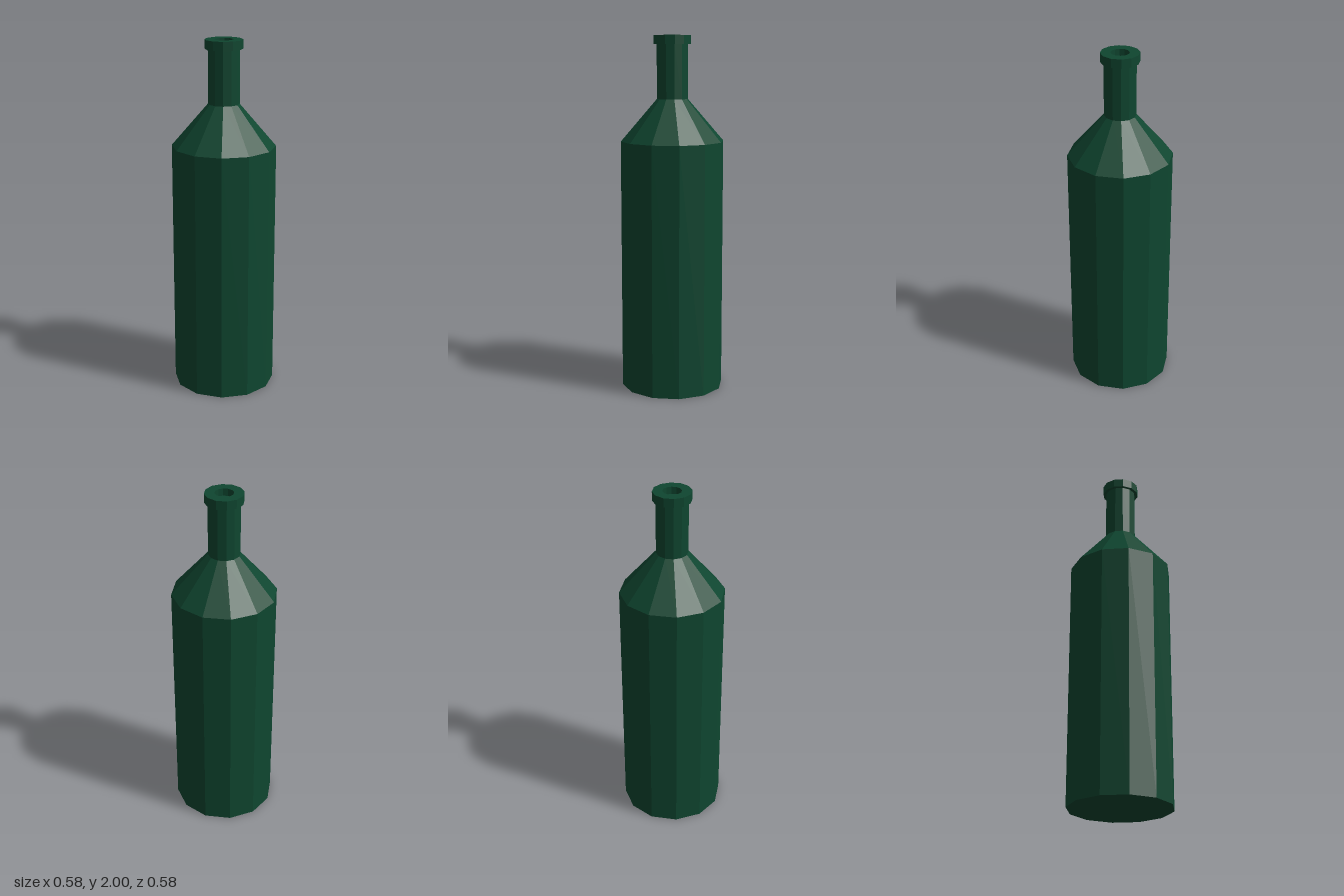
import * as THREE from 'three';

const SIDES = 12;

export function createModel() {
  const bottle = new THREE.Group();
  bottle.name = 'bottle';

  const greenGlass = new THREE.MeshStandardMaterial({ color: 0x0f4630, flatShading: true });
  greenGlass.name = 'dark green glass';

  // Turns a [radius, height] profile, listed from the bottom up, into a faceted part
  function addTurned(name, profile) {
    const points = profile.map(([r, y]) => new THREE.Vector2(r, y));
    const mesh = new THREE.Mesh(new THREE.LatheGeometry(points, SIDES), greenGlass);
    mesh.name = name;
    bottle.add(mesh);
  }

  // Closed base and straight wall
  addTurned('body', [[0, 0], [0.29, 0], [0.29, 1.415]]);
  // Cone narrowing to the neck
  addTurned('shoulder', [[0.29, 1.415], [0.087, 1.65]]);
  addTurned('neck', [[0.087, 1.65], [0.087, 1.95]]);
  // Collar around the mouth
  addTurned('lip', [[0.087, 1.95], [0.105, 1.95], [0.105, 2], [0.051, 2]]);
  // Shallow bore, running down and in to its floor
  addTurned('mouth', [[0.051, 2], [0.051, 1.96], [0, 1.96]]);

  return bottle;
}
